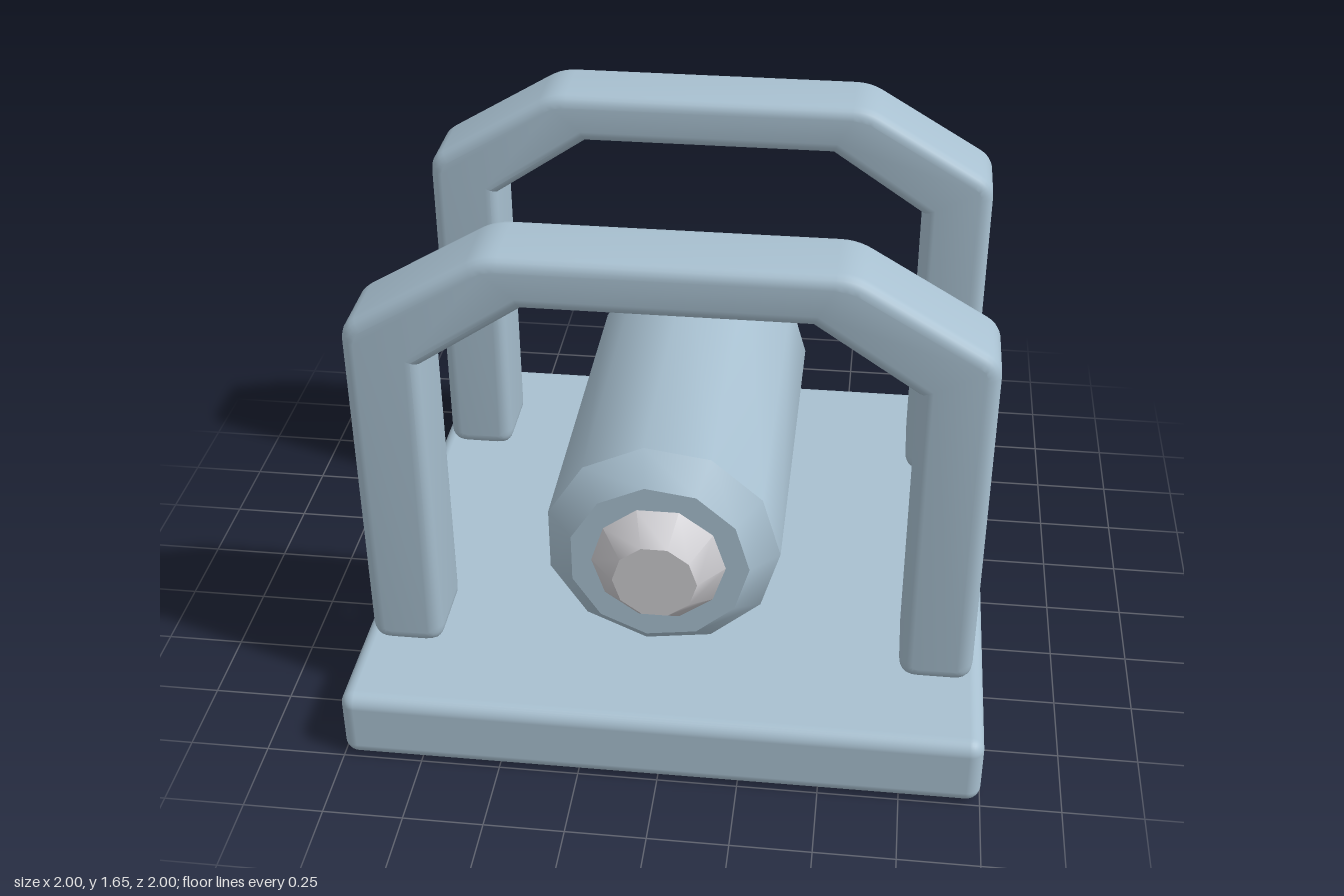
import * as THREE from 'three';
import { toCreasedNormals } from 'three/addons/utils/BufferGeometryUtils.js';
import { RoundedBoxGeometry } from 'three/addons/geometries/RoundedBoxGeometry.js';
import { ConvexGeometry } from 'three/addons/geometries/ConvexGeometry.js';

function flat(name, color) {
  const m = new THREE.MeshStandardMaterial({ color });
  m.name = name;
  return m;
}

// Smooth gentle edges, keep strong ones sharp (scaled up so close points stay distinct)
function crease(geometry, angle) {
  geometry.scale(100, 100, 100);
  return toCreasedNormals(geometry, angle).scale(0.01, 0.01, 0.01);
}

// Closed outline whose corners [x, y, r] are softened over the length r
function softShape(points) {
  const shape = new THREE.Shape();
  const n = points.length;
  points.forEach(([x, y, r], i) => {
    const p = new THREE.Vector2(x, y);
    const toward = ([qx, qy]) =>
      new THREE.Vector2(qx, qy).sub(p).setLength(r).add(p);
    const a = toward(points[(i + n - 1) % n]);
    const b = toward(points[(i + 1) % n]);
    if (i === 0) shape.moveTo(a.x, a.y);
    else shape.lineTo(a.x, a.y);
    if (r > 0) shape.quadraticCurveTo(p.x, p.y, b.x, b.y);
  });
  shape.closePath();
  return shape;
}

// Faceted solid of revolution lying along z, from [radius, z] points
function turned(profile, sides) {
  const pts = profile.map(([r, z]) => new THREE.Vector2(r, z));
  const geometry = new THREE.LatheGeometry(pts, sides, Math.PI / 2);
  return crease(geometry.rotateX(Math.PI / 2), 0.7);
}

// Box with every edge cut flat
function chamferedBox(w, h, d, c) {
  const pts = [];
  for (const sx of [-1, 1]) for (const sy of [-1, 1]) for (const sz of [-1, 1]) {
    const [x, y, z] = [w / 2, h / 2, d / 2];
    pts.push(
      new THREE.Vector3(sx * x, sy * (y - c), sz * (z - c)),
      new THREE.Vector3(sx * (x - c), sy * y, sz * (z - c)),
      new THREE.Vector3(sx * (x - c), sy * (y - c), sz * z)
    );
  }
  return new ConvexGeometry(pts);
}

export function createModel() {
  const model = new THREE.Group();
  model.name = 'cylinderInFrame';
  const blue = flat('paleBlueGrey', 0xa8c0d0);
  const silver = flat('silver', 0xcccbcf);
  const purple = flat('purpleGrey', 0x8e8ca2);

  const add = (name, geometry, material, x, y, z) => {
    const mesh = new THREE.Mesh(geometry, material);
    mesh.name = name;
    mesh.position.set(x, y, z);
    model.add(mesh);
  };

  // Base plate
  add('base', new RoundedBoxGeometry(2, 0.235, 2, 4, 0.045), blue, 0, 0.1175, 0);

  // Two arched hoops with rounded edges
  const right = [
    [0.73, 1.28, 0], [0.73, 0.235, 0.06], [0.96, 0.235, 0.06],
    [0.96, 1.4, 0.05], [0.53, 1.655, 0.05],
  ];
  const left = right.map(([x, y, r]) => [-x, y, r]).reverse();
  const outline = [[0.42, 1.49, 0], ...right, ...left, [-0.42, 1.49, 0]];
  const bevel = 0.04, depth = 0.27;
  const hoop = crease(new THREE.ExtrudeGeometry(softShape(outline), {
    depth: depth - 2 * bevel, curveSegments: 5, bevelEnabled: true,
    bevelThickness: bevel, bevelSize: bevel, bevelOffset: -bevel, bevelSegments: 4,
  }).translate(0, 0, bevel - depth / 2), 0.5);
  add('frontHoop', hoop, blue, 0, 0, 0.575);
  add('backHoop', hoop, blue, 0, 0, -0.575);

  // Cylinder with chamfered ends, and its nose
  add('cylinder', turned([
    [0, -0.445], [0.27, -0.445], [0.355, -0.36],
    [0.355, 0.82], [0.27, 0.905], [0, 0.905],
  ], 11), blue, 0, 0.775, 0);
  add('nose', turned([[0, 0.88], [0.2, 0.88], [0.2, 0.906], [0.125, 0.995], [0, 0.995]], 10),
    silver, 0, 0.775, 0);

  // Chamfered block under the back end
  add('backBlock', chamferedBox(0.425, 0.25, 0.51, 0.068), purple, 0, 0.355, -0.615);

  return model;
}
